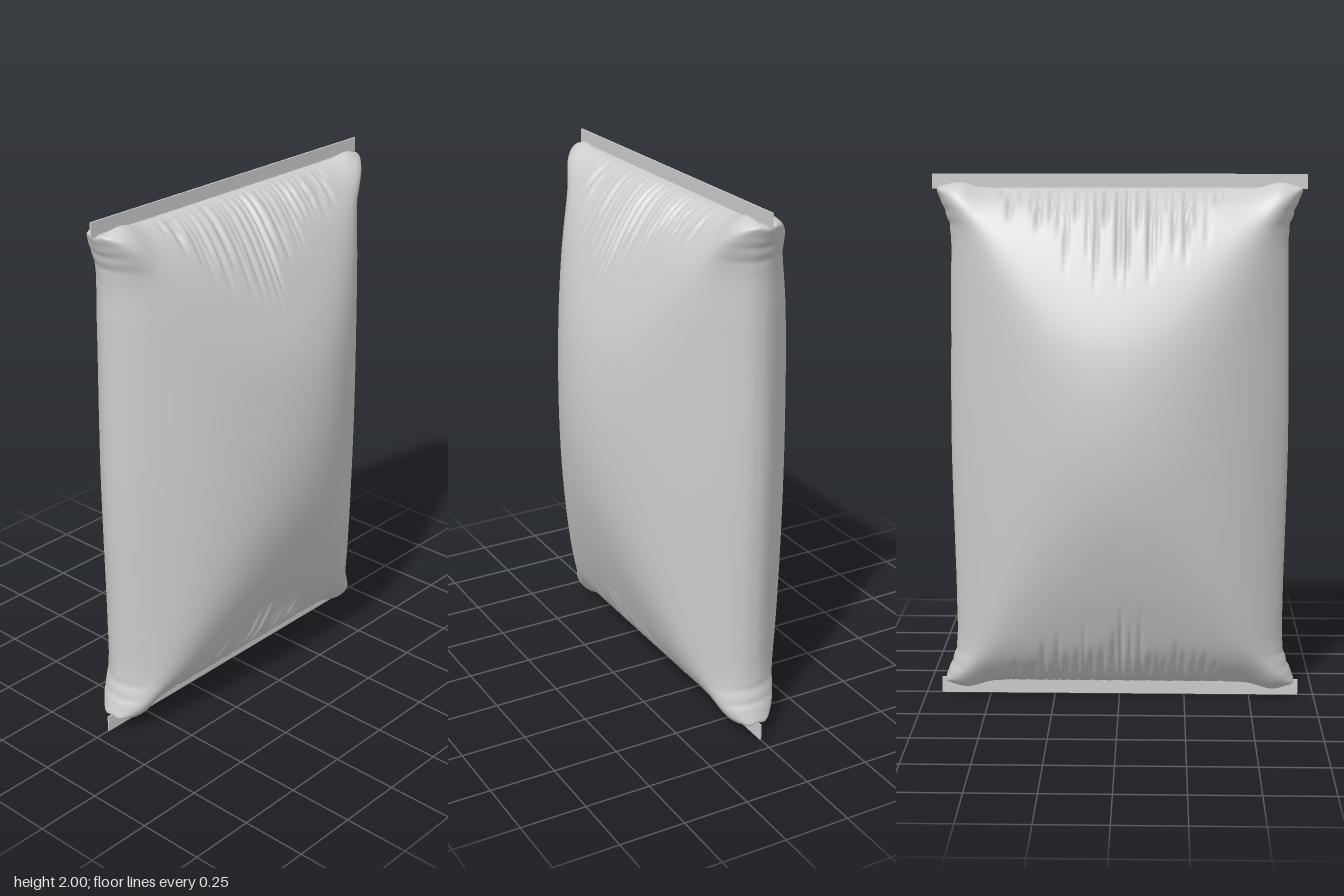
import * as THREE from 'three';

const ROWS = 140, SIDES = 360;
const TOP = 1.95, BOTTOM = 0.055, DEPTH = 0.38;
const smooth = THREE.MathUtils.smoothstep;
const bell = (d, width) => Math.exp(-((d / width) ** 2));

// Small seeded generator for the fold pattern
function seeded(seed) {
  return () => (seed = (seed * 16807) % 2147483647) / 2147483647;
}

// Vertical folds gathered along one seal on one face, longest in the middle
function makeFolds(seed) {
  const rnd = seeded(seed), folds = [];
  for (let z = -0.42; z < 0.42; z += 0.022 + 0.024 * rnd()) {
    const reach = 1 - (z / 0.48) ** 2;
    folds.push({ z, length: (0.12 + 0.3 * rnd()) * reach, depth: 0.008 + 0.012 * rnd(), width: 0.006 + 0.006 * rnd() });
  }
  return folds;
}

function foldDepth(folds, z, dist) {
  let d = 0;
  for (const f of folds) d += f.depth * bell(z - f.z, f.width) * (1 - smooth(dist, f.length * 0.45, f.length));
  return d;
}

// Soft minimum of the section outline and the thickness at this height
function inflate(thick, outline) {
  const n = 6;
  const sum = outline ** n + thick ** n - (thick * outline / DEPTH) ** n;
  return thick * outline / sum ** (1 / n);
}

function pillowGeometry() {
  // Height, half thickness and half width of the pouch
  const profile = new THREE.CatmullRomCurve3([
    [BOTTOM, 0.004, 0.655], [0.065, 0.04, 0.672], [0.1, 0.085, 0.662], [0.2, 0.162, 0.63],
    [0.4, 0.247, 0.626], [0.6, 0.312, 0.629], [0.8, 0.359, 0.633], [1, DEPTH, 0.635],
    [1.2, 0.375, 0.633], [1.4, 0.343, 0.629], [1.6, 0.272, 0.626], [1.8, 0.174, 0.626],
    [1.9, 0.1, 0.658], [1.94, 0.045, 0.672], [TOP, 0.004, 0.655],
  ].map((p) => new THREE.Vector3(...p)));
  const folds = [1, 2, 3, 4].map((n) => makeFolds(n * 7919));
  const pos = [], index = [];

  for (let i = 0; i <= ROWS; i++) {
    const { x: y0, y: thick, z: wide } = profile.getPoint(i / ROWS);
    const upper = y0 > 1 ? 1 : 0;
    const dist = upper ? TOP - y0 : y0 - BOTTOM;
    for (let j = 0; j < SIDES; j++) {
      const th = (j / SIDES) * Math.PI * 2;
      const a = th - 0.2 * Math.sin(2 * th); // more points on the broad faces
      const c = Math.max(1e-4, Math.abs(Math.cos(a))), side = Math.cos(a) < 0 ? -1 : 1;
      let z = wide * Math.sin(a);
      let x = inflate(thick, DEPTH * (0.35 * c ** 0.7 + 0.65 * c ** 2));
      // Puffed corners beside the seal
      const corner = bell(Math.abs(z) - 0.59, 0.07);
      x += 0.018 * corner * Math.sqrt(c) * bell(dist - 0.03, 0.08) * Math.min(1, thick / 0.04);
      const y = y0 + (upper ? 1 : -1) * corner * 0.024 * bell(dist, 0.06) * Math.min(1, x / 0.03);
      // Gathered folds
      x -= Math.min(1, x / 0.06) * foldDepth(folds[upper * 2 + (side > 0 ? 1 : 0)], z, dist);
      // Short creases across the narrow sides near the corners
      const crease = bell(dist - 0.08, 0.008) + bell(dist - 0.13, 0.009);
      z -= Math.sign(z) * 0.005 * crease * bell(c, 0.4);
      pos.push(side * x, y, z);
      if (i < ROWS) {
        const k = (j + 1) % SIDES, r = i * SIDES, s = r + SIDES;
        index.push(r + j, s + j, r + k, s + j, s + k, r + k);
      }
    }
  }
  const g = new THREE.BufferGeometry();
  g.setAttribute('position', new THREE.Float32BufferAttribute(pos, 3));
  g.setIndex(index);
  g.computeVertexNormals();
  return g;
}

export function createModel() {
  const group = new THREE.Group();
  group.name = 'pillowBag';
  const material = new THREE.MeshStandardMaterial({ color: 0xcccccc, side: THREE.DoubleSide });

  const pouch = new THREE.Mesh(pillowGeometry(), material);
  pouch.name = 'pouch';
  group.add(pouch);

  // Flat seal strips along both ends
  for (const [name, low, high] of [['topSeal', 1.945, 2], ['bottomSeal', 0, 0.062]]) {
    const seal = new THREE.Mesh(new THREE.BoxGeometry(0.006, high - low, 1.38), material);
    seal.position.y = (low + high) / 2;
    seal.name = name;
    group.add(seal);
  }
  return group;
}
